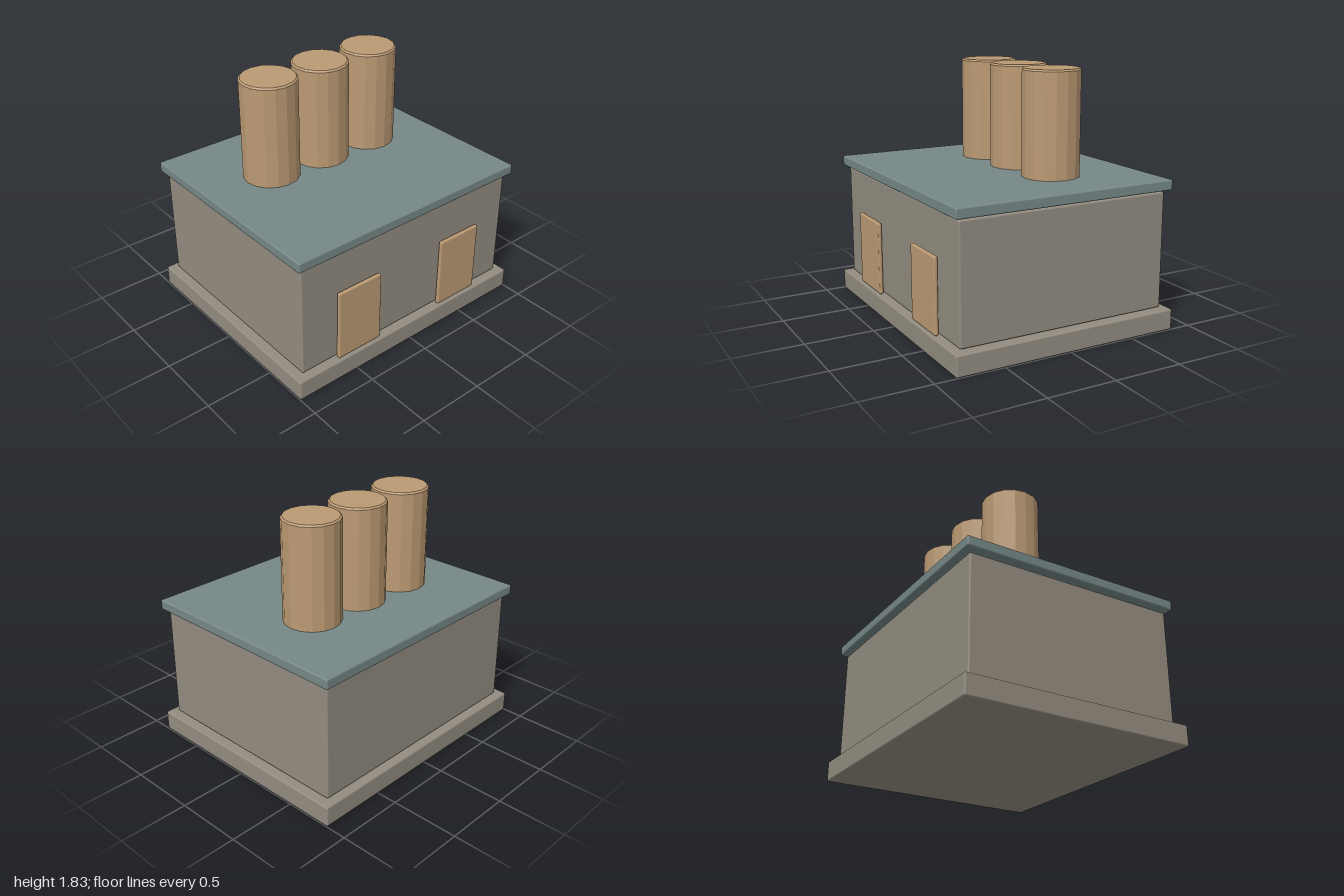
import * as THREE from 'three';
import { RoundedBoxGeometry } from 'three/addons/geometries/RoundedBoxGeometry.js';

function material(name, color, flatShading = false) {
  const m = new THREE.MeshStandardMaterial({ color, flatShading });
  m.name = name;
  return m;
}

export function createModel() {
  const group = new THREE.Group();
  group.name = 'chimneyHouse';

  const stone = material('stone', 0x938c80);
  const slate = material('slate', 0x768887);
  const clay = material('clay', 0xbb9a73, true);

  // Softly bevelled block given by its size and the height of its underside
  function block(name, mat, w, h, d, x, bottom, z) {
    const mesh = new THREE.Mesh(new RoundedBoxGeometry(w, h, d, 2, 0.012), mat);
    mesh.name = name;
    mesh.position.set(x, bottom + h / 2, z);
    group.add(mesh);
  }

  // Plinth, walls and flat roof slab
  block('base', stone, 2, 0.15, 1.7, 0, 0, 0);
  block('walls', stone, 1.87, 0.835, 1.58, 0, 0.155, 0);
  block('roof', slate, 1.95, 0.075, 1.66, 0, 1.005, 0);

  // Doors standing just proud of the front wall
  for (const side of [-1, 1]) {
    block(side < 0 ? 'rightDoor' : 'leftDoor', clay, 0.37, 0.54, 0.03, side * 0.468, 0.152, 0.815);
  }

  // Three sixteen-sided chimneys with bevelled rims, passing through the roof
  const r = 0.206, low = 0.985, high = 1.83, bevel = 0.012;
  const profile = [
    [0, low], [r - bevel, low], [r, low + bevel],
    [r, high - bevel], [r - bevel, high], [0, high],
  ].map(([x, y]) => new THREE.Vector2(x, y));
  const chimneyGeometry = new THREE.LatheGeometry(profile, 16);
  ['rightChimney', 'middleChimney', 'leftChimney'].forEach((name, i) => {
    const chimney = new THREE.Mesh(chimneyGeometry, clay);
    chimney.name = name;
    chimney.position.set((i - 1) * 0.444, 0, -0.175);
    group.add(chimney);
  });

  return group;
}
